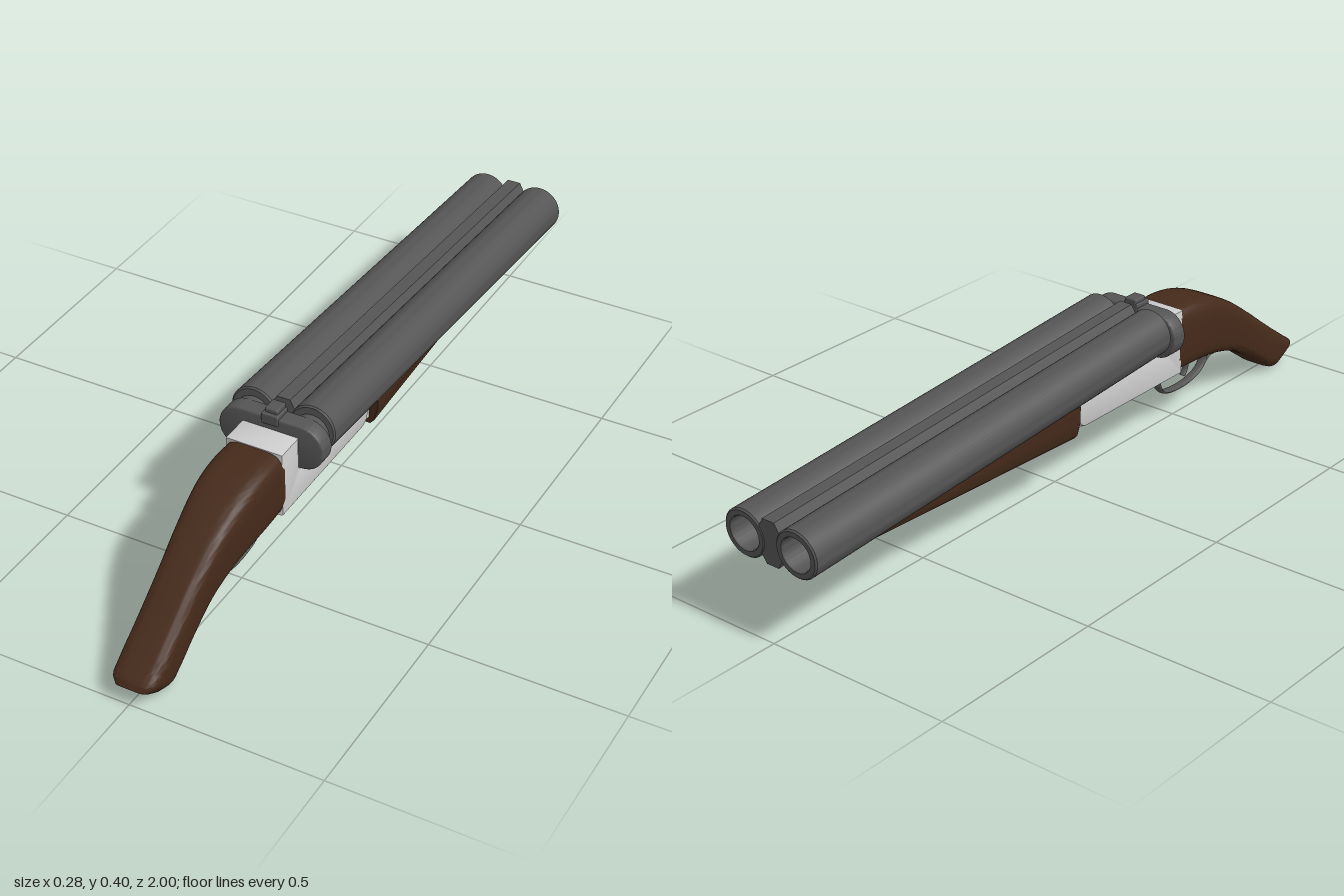
import * as THREE from 'three';
import { toCreasedNormals } from 'three/addons/utils/BufferGeometryUtils.js';
import { RoundedBoxGeometry } from 'three/addons/geometries/RoundedBoxGeometry.js';

const steel = new THREE.MeshStandardMaterial({ color: 0x555555 });
const wood = new THREE.MeshStandardMaterial({ color: 0x452a1a });
const grey = new THREE.MeshStandardMaterial({ color: 0xcccccc });

function add(parent, name, geometry, material, x = 0, y = 0, z = 0) {
  const mesh = new THREE.Mesh(geometry, material);
  mesh.name = name;
  mesh.position.set(x, y, z);
  parent.add(mesh);
  return mesh;
}

// Skin over rings running towards +z, each counter-clockwise seen from +z, with flat caps
function loft(rings, crease) {
  const n = rings[0].length, pos = [], idx = [];
  rings.forEach(r => r.forEach(p => pos.push(p.x, p.y, p.z)));
  for (let i = 0; i < rings.length - 1; i++) {
    for (let j = 0; j < n; j++) {
      const a = i * n + j, b = i * n + (j + 1) % n;
      idx.push(a, b, b + n, a, b + n, a + n);
    }
  }
  for (const end of [0, rings.length - 1]) {
    const c = new THREE.Vector3();
    rings[end].forEach(p => c.addScaledVector(p, 1 / n));
    const centre = pos.length / 3;
    pos.push(c.x, c.y, c.z);
    for (let j = 0; j < n; j++) {
      const a = end * n + j, b = end * n + (j + 1) % n;
      if (end) idx.push(centre, a, b); else idx.push(centre, b, a);
    }
  }
  const g = new THREE.BufferGeometry();
  g.setAttribute('position', new THREE.Float32BufferAttribute(pos, 3));
  g.setIndex(idx);
  return toCreasedNormals(g, crease);
}

function roundedRect(w, h, r) {
  const s = new THREE.Shape(), x = w / 2 - r, y = h / 2 - r;
  s.absarc(x, y, r, 0, Math.PI / 2);
  s.absarc(-x, y, r, Math.PI / 2, Math.PI);
  s.absarc(-x, -y, r, Math.PI, Math.PI * 1.5);
  s.absarc(x, -y, r, Math.PI * 1.5, Math.PI * 2);
  s.closePath();
  return s;
}

// Curved stock: top and bottom edge curves carry half width, y and z
function stockGeometry() {
  const curve = pts => new THREE.CatmullRomCurve3(pts.map(p => new THREE.Vector3(...p)));
  const top = curve([[.078, .347, .42], [.08, .346, .5], [.077, .33, .58], [.068, .283, .68], [.061, .215, .78],
    [.06, .14, .88], [.06, .083, .96], [.057, .062, .99], [.042, .048, 1]]);
  const bottom = curve([[.078, .17, .42], [.08, .168, .49], [.077, .163, .55], [.068, .149, .625], [.061, .122, .71],
    [.06, .078, .79], [.06, .03, .86], [.057, .01, .89], [.042, .002, .925]]);
  const rings = [], power = x => Math.sign(x) * Math.abs(x) ** .42;
  for (let i = 0; i <= 40; i++) {
    const a = top.getPoint(i / 40), b = bottom.getPoint(i / 40), ring = [];
    for (let j = 0; j < 48; j++) {
      const t = j / 48 * Math.PI * 2;
      const p = b.clone().lerp(a, .5 + .5 * power(Math.sin(t)));
      p.x = power(Math.cos(t)) * a.x;
      ring.push(p);
    }
    rings.push(ring);
  }
  return loft(rings, .8);
}

// Tapered fore-end section with chamfered lower edges
function foreEndRing(w, y0, y1, z) {
  const h = y1 - y0;
  return [[-.78, 0], [.78, 0], [.89, .12], [1, .55], [1, 1], [-1, 1], [-1, .55], [-.89, .12]]
    .map(([x, y]) => new THREE.Vector3(x * w, y0 + y * h, z));
}

export function createModel() {
  const model = new THREE.Group();

  add(model, 'stock', stockGeometry(), wood);
  add(model, 'foreEnd', loft([foreEndRing(.062, .166, .204, -.745), foreEndRing(.094, .153, .248, -.015)], .3), wood);

  // Receiver: side profile drawn in z and y, extruded across x
  const side = new THREE.Shape();
  side.moveTo(.425, .176);
  side.lineTo(.425, .344);
  side.lineTo(.356, .344);
  side.lineTo(.356, .27);
  side.quadraticCurveTo(.356, .251, .336, .251);
  side.lineTo(.035, .251);
  side.quadraticCurveTo(.006, .251, .006, .214);
  side.quadraticCurveTo(.006, .176, .035, .176);
  side.closePath();
  const body = new THREE.ExtrudeGeometry(side, {
    depth: .144, bevelSize: .005, bevelThickness: .005, bevelSegments: 2, curveSegments: 10,
  });
  body.translate(0, 0, -.072).rotateY(-Math.PI / 2);
  body.scale(-1, 1, 1);
  // Mirroring reverses the corners, so turn the profile back by half a turn instead
  body.scale(-1, 1, 1);
  add(model, 'receiver', toCreasedNormals(body, .6), grey);
  add(model, 'hingeBlock', new THREE.BoxGeometry(.14, .078, .06), grey, 0, .211, .012);

  // Breech plate with its top latch
  const plate = new THREE.ExtrudeGeometry(roundedRect(.272, .11, .054), {
    depth: .036, bevelSize: .005, bevelThickness: .005, bevelSegments: 3, curveSegments: 16,
  });
  add(model, 'breechPlate', toCreasedNormals(plate, .6), steel, 0, .321, .311);
  add(model, 'latchBase', new RoundedBoxGeometry(.046, .03, .05, 2, .004), steel, 0, .377, .331);
  add(model, 'latchLever', new RoundedBoxGeometry(.036, .018, .042, 2, .005), steel, 0, .394, .326);

  // Barrels, hinged slightly downwards
  const barrels = new THREE.Group();
  barrels.name = 'barrels';
  barrels.position.set(0, .338, .293);
  barrels.rotation.x = -.065;
  model.add(barrels);
  const L = 1.291, R = .062;
  const profile = [[0, 0], [R - .004, 0], [R, .004], [R, L - .004], [R - .004, L], [.045, L], [.043, L - .003],
    [.043, .05], [0, .05]].map(p => new THREE.Vector2(...p));
  const tube = toCreasedNormals(new THREE.LatheGeometry(profile, 48).rotateX(-Math.PI / 2), .5);
  for (const s of [-1, 1]) {
    add(barrels, s > 0 ? 'leftBarrel' : 'rightBarrel', tube, steel, s * .079);
    const collar = new THREE.CylinderGeometry(.048, .048, .05, 32).rotateX(Math.PI / 2);
    add(barrels, s > 0 ? 'leftCollar' : 'rightCollar', collar, steel, s * .079, -.008, .005);
  }
  const rib = new THREE.Shape([[.018, .06], [-.018, .06], [-.031, .037], [-.031, -.037], [-.018, -.058],
    [.018, -.058], [.031, -.037], [.031, .037]].map(p => new THREE.Vector2(...p)));
  add(barrels, 'centreRib', new THREE.ExtrudeGeometry(rib, { depth: L - .004, bevelEnabled: false }), steel, 0, 0, -L + .002);

  // Flattened bars for the trigger guard and trigger
  const bar = (name, pts, r, flat) => {
    const path = new THREE.CatmullRomCurve3(pts.map(([z, y]) => new THREE.Vector3(0, y, z)));
    add(model, name, new THREE.TubeGeometry(path, 40, r, 10), steel).scale.x = flat;
  };
  bar('triggerGuard', [[.63, .155], [.635, .125], [.615, .098], [.57, .081], [.5, .077], [.445, .09], [.428, .118],
    [.436, .15], [.46, .172]], .005, 2.6);
  bar('guardTang', [[.715, .125], [.68, .126], [.65, .124], [.628, .112]], .005, 2.6);
  bar('trigger', [[.54, .175], [.553, .145], [.553, .12], [.54, .1]], .005, 1.8);

  return model;
}
